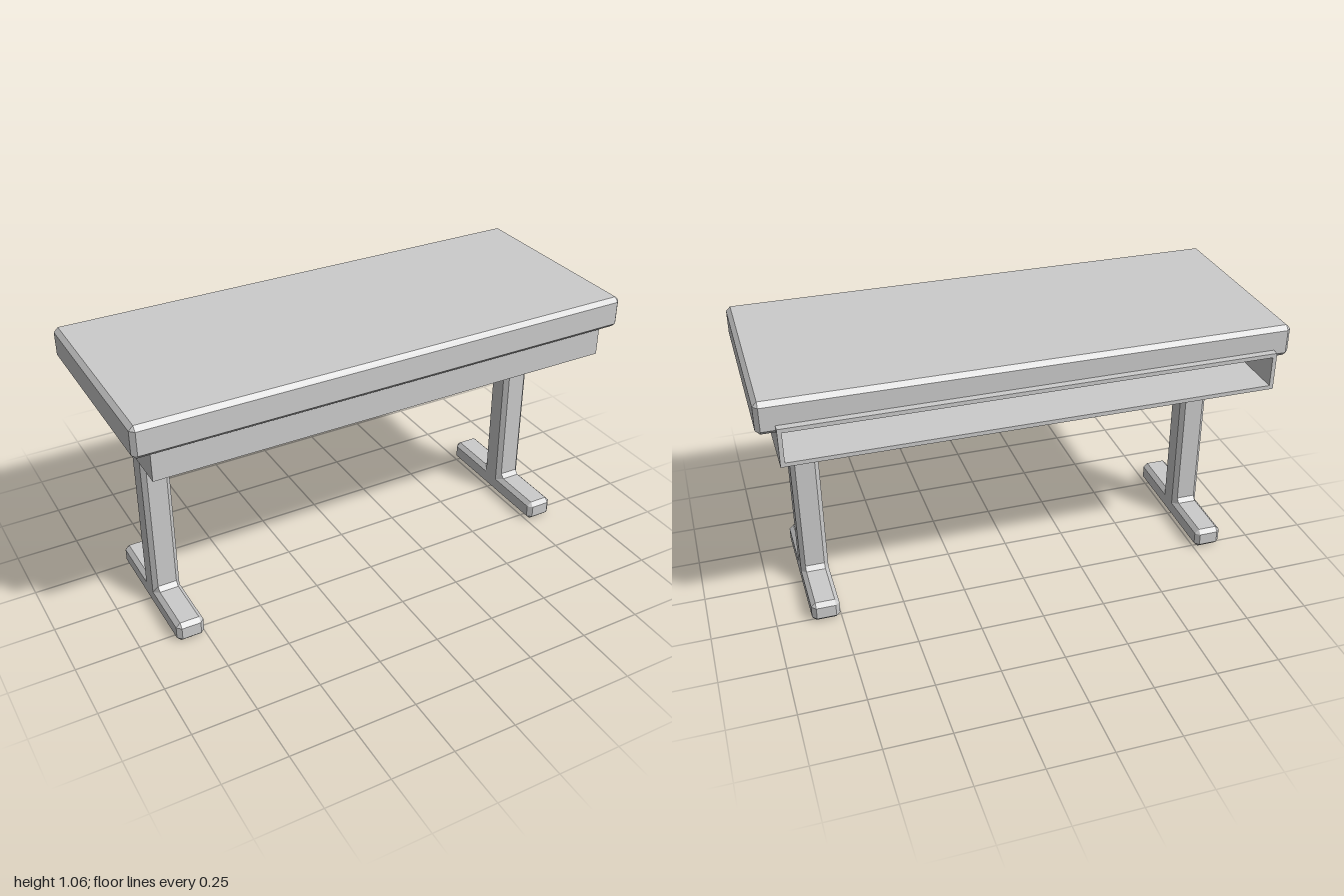
import * as THREE from 'three';

const material = new THREE.MeshStandardMaterial({ color: 0xcccccc, flatShading: true });
const C = 0.017; // chamfer width

function addMesh(parent, name, geometry) {
  const mesh = new THREE.Mesh(geometry, material);
  mesh.name = name;
  parent.add(mesh);
  return mesh;
}

// Right-angled outline (counter-clockwise, XY) extruded along z, with every edge chamfered
function chamferedSolid(points, depth) {
  const corners = points.map(p => new THREE.Vector2(...p));
  const n = corners.length;
  const cap = [], outer = [];
  corners.forEach((p, i) => {
    const d1 = p.clone().sub(corners[(i + n - 1) % n]).normalize();
    const d2 = corners[(i + 1) % n].clone().sub(p).normalize();
    const inset = new THREE.Vector2(p.x - C * (d1.y + d2.y), p.y + C * (d1.x + d2.x));
    cap.push(inset, inset); // one cap corner serves both ends of the cut corner
    outer.push(p.clone().addScaledVector(d1, -C), p.clone().addScaledVector(d2, C));
  });

  const h = depth / 2;
  const at = (ring, z) => ring.map(p => new THREE.Vector3(p.x, p.y, z));
  const rings = [at(cap, -h), at(outer, C - h), at(outer, h - C), at(cap, h)];
  const positions = [];
  const tri = (a, b, c) => {
    if (a.equals(b) || b.equals(c) || a.equals(c)) return;
    for (const v of [a, b, c]) positions.push(v.x, v.y, v.z);
  };

  // Sides and chamfers
  for (let r = 0; r < 3; r++) {
    const back = rings[r], front = rings[r + 1];
    for (let i = 0; i < 2 * n; i++) {
      const j = (i + 1) % (2 * n);
      tri(back[i], back[j], front[j]);
      tri(back[i], front[j], front[i]);
    }
  }
  // End caps
  const outline = cap.filter((_, i) => i % 2 === 0);
  for (const [a, b, c] of THREE.ShapeUtils.triangulateShape(outline, [])) {
    tri(rings[3][2 * a], rings[3][2 * b], rings[3][2 * c]);
    tri(rings[0][2 * c], rings[0][2 * b], rings[0][2 * a]);
  }

  const geometry = new THREE.BufferGeometry();
  geometry.setAttribute('position', new THREE.Float32BufferAttribute(positions, 3));
  geometry.computeVertexNormals();
  return geometry;
}

const rect = (x0, y0, x1, y1) => [[x0, y0], [x1, y0], [x1, y1], [x0, y1]];

export function createModel() {
  const desk = new THREE.Group();
  desk.name = 'desk';

  // Tabletop
  addMesh(desk, 'tabletop', chamferedSolid(rect(-1, 0.931, 1, 1.057), 0.82)).position.z = 0.015;

  // Storage tray, open at the back
  const tray = new THREE.Group();
  tray.name = 'tray';
  desk.add(tray);
  const wall = 0.016, halfWidth = 0.932, bottom = 0.816, top = 0.966, back = -0.423, front = 0.396;
  const toPoints = list => list.map(p => new THREE.Vector2(...p));
  const frame = new THREE.Shape(toPoints(rect(-halfWidth, bottom, halfWidth, top)));
  frame.holes.push(new THREE.Path(toPoints(
    rect(-halfWidth + wall, bottom + wall, halfWidth - wall, top - wall))));
  addMesh(tray, 'trayShell', new THREE.ExtrudeGeometry(frame, {
    depth: front - wall - back, bevelEnabled: false,
  })).position.z = back;
  addMesh(tray, 'trayFront', new THREE.BoxGeometry(2 * halfWidth, top - bottom, wall))
    .position.set(0, (top + bottom) / 2, front - wall / 2);

  // Legs: post and foot in one inverted T, outline given as (z, y)
  const legGeometry = chamferedSolid([
    [-0.275, 0], [0.304, 0], [0.304, 0.083], [0.067, 0.083],
    [0.067, 0.834], [-0.038, 0.834], [-0.038, 0.083], [-0.275, 0.083],
  ], 0.11).rotateY(-Math.PI / 2);
  for (const side of [1, -1]) {
    addMesh(desk, side > 0 ? 'leftLeg' : 'rightLeg', legGeometry).position.x = side * 0.809;
  }

  return desk;
}
